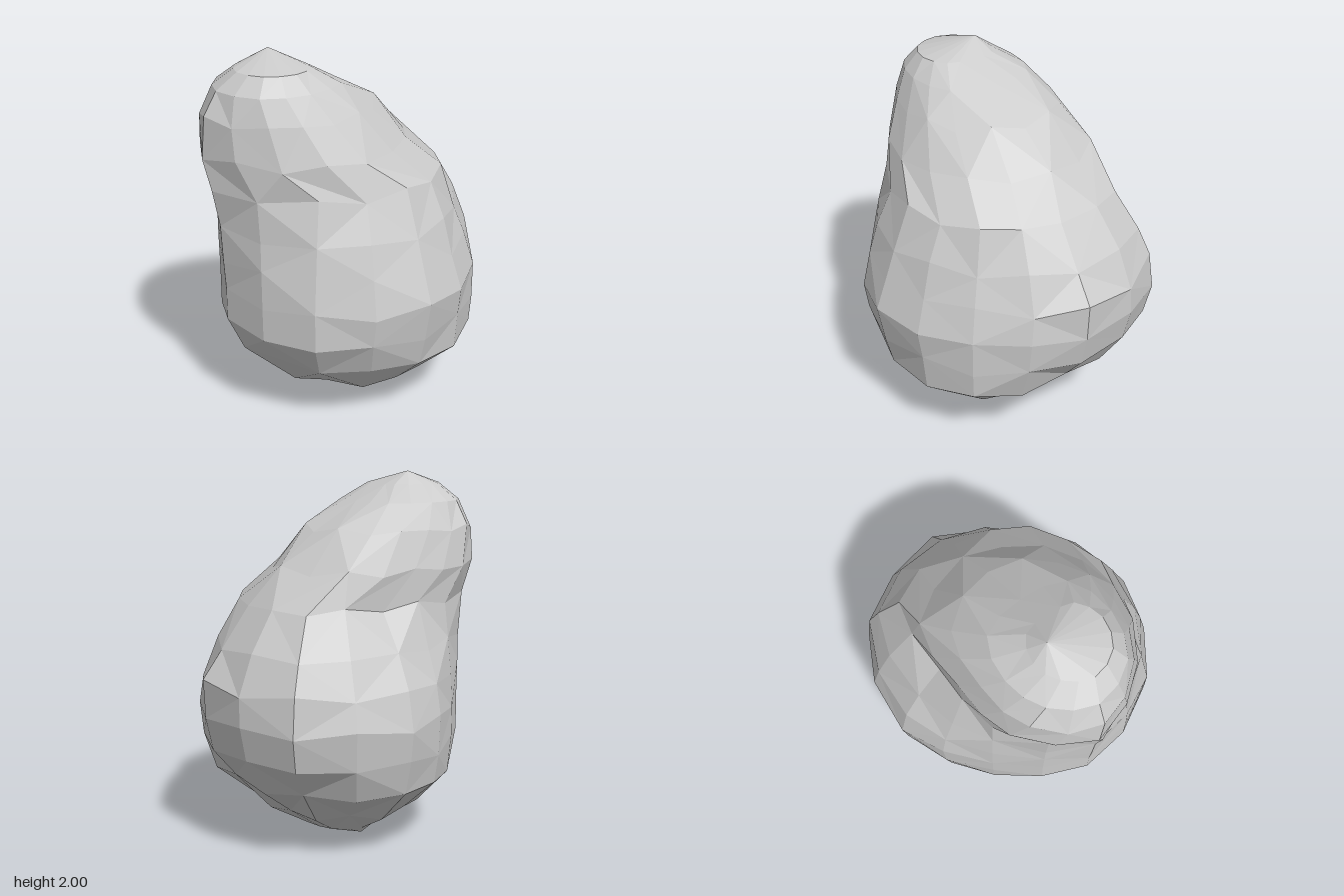
import * as THREE from 'three';

// Cross-sections from bottom to top: height, centre x, centre z,
// then radii every 45 degrees, turning from +x towards +z
const SECTIONS = [
  [0.05, 0, -0.05, 0.22, 0.32, 0.25, 0.2, 0.2, 0.2, 0.22, 0.22],
  [0.18, 0, 0, 0.43, 0.52, 0.54, 0.48, 0.47, 0.46, 0.47, 0.45],
  [0.37, 0, 0, 0.64, 0.75, 0.73, 0.68, 0.65, 0.63, 0.7, 0.69],
  [0.55, 0, 0, 0.77, 0.76, 0.77, 0.79, 0.75, 0.65, 0.75, 0.82],
  [0.74, 0, 0, 0.81, 0.76, 0.81, 0.79, 0.75, 0.65, 0.77, 0.86],
  [0.92, 0, 0, 0.82, 0.7, 0.75, 0.76, 0.76, 0.64, 0.72, 0.83],
  [1.1, 0, 0, 0.71, 0.64, 0.69, 0.72, 0.77, 0.62, 0.62, 0.76],
  [1.32, 0, 0, 0.55, 0.56, 0.59, 0.66, 0.81, 0.6, 0.47, 0.62],
  [1.5, -0.2, -0.05, 0.58, 0.55, 0.56, 0.58, 0.63, 0.5, 0.42, 0.56],
  [1.7, -0.32, -0.03, 0.49, 0.46, 0.43, 0.45, 0.5, 0.43, 0.38, 0.47],
  [1.84, -0.4, -0.02, 0.3, 0.35, 0.33, 0.35, 0.35, 0.31, 0.3, 0.34],
  [1.93, -0.43, 0.02, 0.16, 0.2, 0.21, 0.22, 0.22, 0.2, 0.2, 0.2],
];
const SIDES = 16;
const BOTTOM = [-0.03, 0, -0.21];
const TOP = [-0.4, 2, -0.08];

// One loop of corners, curving smoothly through the section's eight points
function ringPoints([y, cx, cz, ...radii], ring) {
  const corners = radii.map((r, k) => {
    const a = (k * Math.PI) / 4;
    return new THREE.Vector3(cx + r * Math.cos(a), y, cz + r * Math.sin(a));
  });
  const outline = new THREE.CatmullRomCurve3(corners, true);
  return Array.from({ length: SIDES }, (_, j) => {
    const p = outline.getPoint(j / SIDES);
    // uneven chiselled heights
    if (ring > 0 && y < 1.8) p.y += 0.02 * Math.sin(j * 2.7 + ring * 4.1);
    return p.toArray();
  });
}

function rockGeometry() {
  const rings = SECTIONS.map(ringPoints);
  const positions = [BOTTOM, ...rings.flat(), TOP].flat();
  const id = (i, j) => 1 + i * SIDES + (j % SIDES);
  const last = SECTIONS.length - 1;
  const top = id(last + 1, 0);
  const index = [];
  for (let j = 0; j < SIDES; j++) {
    index.push(0, id(0, j), id(0, j + 1));
    for (let i = 0; i < last; i++) {
      const a = id(i, j), b = id(i, j + 1), c = id(i + 1, j), d = id(i + 1, j + 1);
      // alternate the diagonals for irregular facets
      if ((i + j) % 2) index.push(a, c, b, b, c, d);
      else index.push(a, d, b, a, c, d);
    }
    index.push(top, id(last, j + 1), id(last, j));
  }
  const geometry = new THREE.BufferGeometry();
  geometry.setAttribute('position', new THREE.Float32BufferAttribute(positions, 3));
  geometry.setIndex(index);
  const faceted = geometry.toNonIndexed();
  faceted.computeVertexNormals();
  return faceted;
}

export function createModel() {
  const group = new THREE.Group();
  group.name = 'boulder';
  const stone = new THREE.MeshStandardMaterial({ color: 0xcccccc, flatShading: true });
  const rock = new THREE.Mesh(rockGeometry(), stone);
  rock.name = 'rock';
  group.add(rock);
  return group;
}
